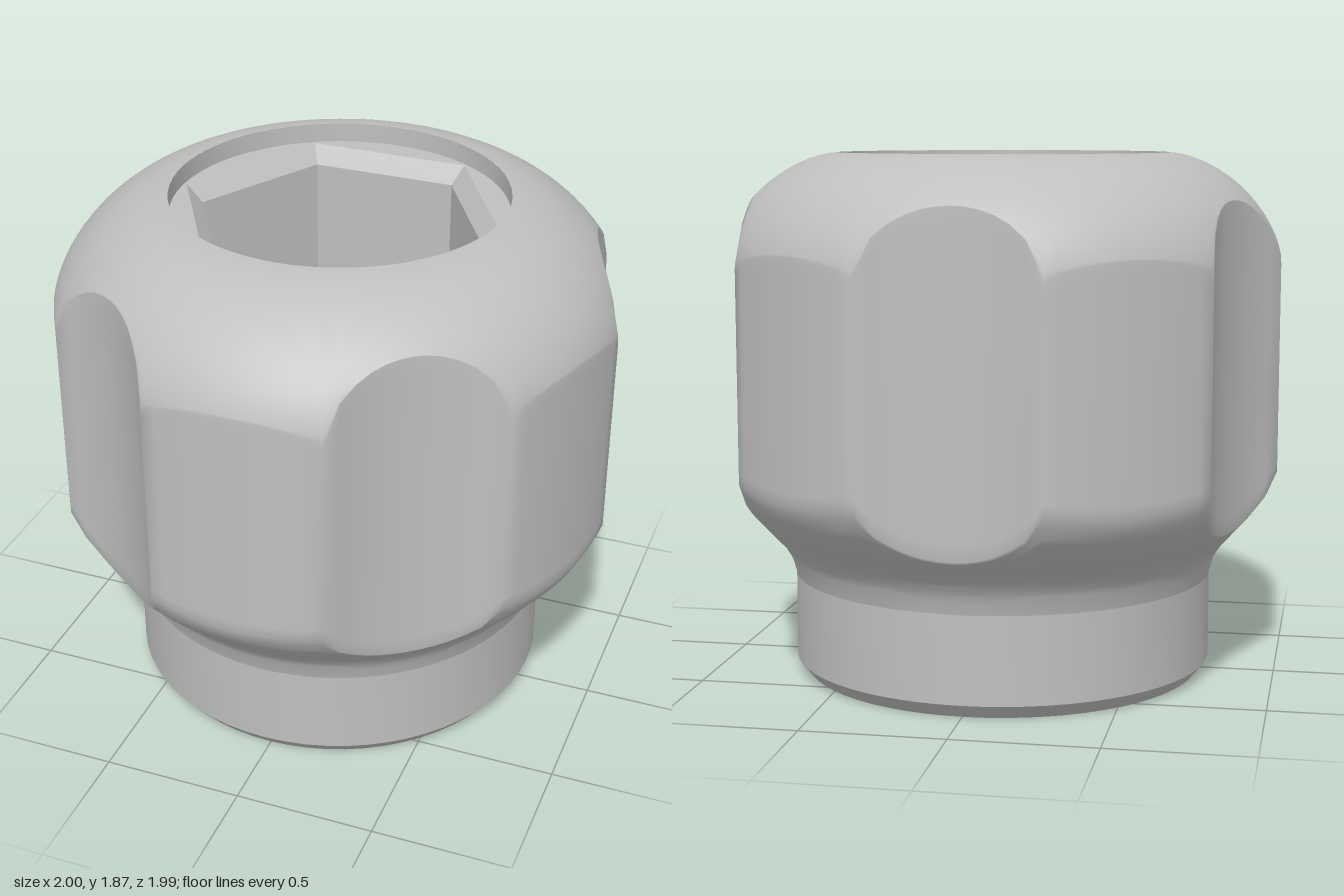
import * as THREE from 'three';
import { toCreasedNormals } from 'three/addons/utils/BufferGeometryUtils.js';

const R_TOP = 0.59, R_NECK = 0.755, R_MAX = 1.0;
const TAU = Math.PI * 2;

// Outer radius of the grip: five lobes with five concave scallops between them
function gripRadius(a) {
  const sector = TAU / 5, half = sector / 4;
  const fromLobe = Math.abs(a - Math.round(a / sector) * sector);
  if (fromLobe <= half) return R_MAX - 0.01 * Math.cos((fromLobe / half) * Math.PI / 2);
  const d = sector / 2 - fromLobe, D = 1.689, S = 0.8;
  return D * Math.cos(d) - Math.sqrt(S * S - (D * Math.sin(d)) ** 2);
}

// Height of the rounded shoulder at a radius
function shoulderY(r) {
  const u = Math.min(1, (r - R_TOP) / (R_MAX - R_TOP));
  return 1.48 + 0.39 * Math.pow(1 - Math.pow(u, 1.7), 1 / 1.7);
}

// Height of the flared underside at a radius
const FLARE = [[0.755, 0.36], [0.77, 0.42], [0.8, 0.47], [0.85, 0.525], [0.91, 0.59], [0.965, 0.66], [1.0, 0.74]];
function flareY(r) {
  for (let i = 1; i < FLARE.length; i++) {
    const [r0, y0] = FLARE[i - 1], [r1, y1] = FLARE[i];
    if (r <= r1) return y0 + (y1 - y0) * (r - r0) / (r1 - r0);
  }
  return 0.74;
}

// Grip skin: each column runs over the shoulder, down the wall and under the flare
function gripGeometry() {
  const cols = 120, n = 14, pos = [], index = [];
  let rows = 0;
  const columns = [];
  for (let j = 0; j < cols; j++) {
    const a = (j / cols) * TAU, rm = gripRadius(a), col = [];
    for (let i = 0; i <= n; i++) {
      const r = R_TOP + (rm - R_TOP) * Math.sin((i / n) * Math.PI / 2);
      col.push([r, shoulderY(r)]);
    }
    const top = shoulderY(rm), bottom = flareY(rm);
    for (const f of [0.05, 0.5, 0.95]) col.push([rm, top + (bottom - top) * f]);
    for (let i = 0; i <= n; i++) {
      const r = rm + (R_NECK - rm) * (i / n);
      col.push([r, flareY(r)]);
    }
    rows = col.length;
    columns.push(col);
  }
  for (let i = 0; i < rows; i++) {
    for (let j = 0; j < cols; j++) {
      const a = (j / cols) * TAU, [r, y] = columns[j][i];
      const t = (r - R_TOP) / (R_MAX - R_TOP); // slight offset of the bore axis
      pos.push(r * Math.sin(a) - 0.01 * (1 - t), y, r * Math.cos(a) * (1 + 0.025 * t) - 0.04 + 0.02 * t);
      if (i === rows - 1) continue;
      const k = (j + 1) % cols, p = i * cols;
      index.push(p + j, p + cols + j, p + k, p + k, p + cols + j, p + cols + k);
    }
  }
  const g = new THREE.BufferGeometry();
  g.setAttribute('position', new THREE.Float32BufferAttribute(pos, 3));
  g.setIndex(index);
  g.computeVertexNormals();
  return g;
}

const turned = (pts, segments = 64, start = 0) =>
  toCreasedNormals(new THREE.LatheGeometry(pts.map(p => new THREE.Vector2(...p)), segments, start), 0.4);

// Points of a regular polygon with a corner on +x
const ring = (r, n) => Array.from({ length: n }, (_, i) =>
  new THREE.Vector2(r * Math.cos(i / n * TAU), r * Math.sin(i / n * TAU)));

// Flat upward face with a hole
function floor(outer, inner, y) {
  const s = new THREE.Shape(outer);
  s.holes.push(new THREE.Path(inner));
  return new THREE.ShapeGeometry(s).rotateX(-Math.PI / 2).translate(0, y, 0);
}

export function createModel() {
  const grey = new THREE.MeshStandardMaterial({ color: 0xbfbfbf });
  grey.name = 'grey';
  const knob = new THREE.Group();
  knob.name = 'knob';
  const add = (name, geometry, parent) => {
    const m = new THREE.Mesh(geometry, grey);
    m.name = name;
    parent.add(m);
    return m;
  };

  add('grip', gripGeometry(), knob);

  // Collar with a chamfered foot
  const collar = add('collar', turned([[0.38, 0], [0.715, 0], [R_NECK, 0.05], [R_NECK, 0.36]]), knob);
  collar.position.set(-0.006, 0, -0.032);
  collar.scale.z = 1.01;

  // Round recess, hexagonal pocket and through bore
  const bore = new THREE.Group();
  bore.name = 'socket';
  bore.position.set(-0.01, 0, -0.04);
  knob.add(bore);
  add('recessWall', turned([[R_TOP, 1.87], [R_TOP, 1.8]]), bore);
  add('recessFloor', floor(ring(R_TOP, 64), ring(0.58, 6), 1.8), bore);
  add('hexPocket', turned([[0.58, 1.8], [0.52, 1.74], [0.52, 0.36]], 6, Math.PI / 2), bore);
  add('pocketFloor', floor(ring(0.52, 6), ring(0.34, 48), 0.36), bore);
  add('throughHole', turned([[0.34, 0.36], [0.295, 0.31], [0.295, 0.05], [0.34, 0], [0.39, 0]], 48), bore);
  return knob;
}
